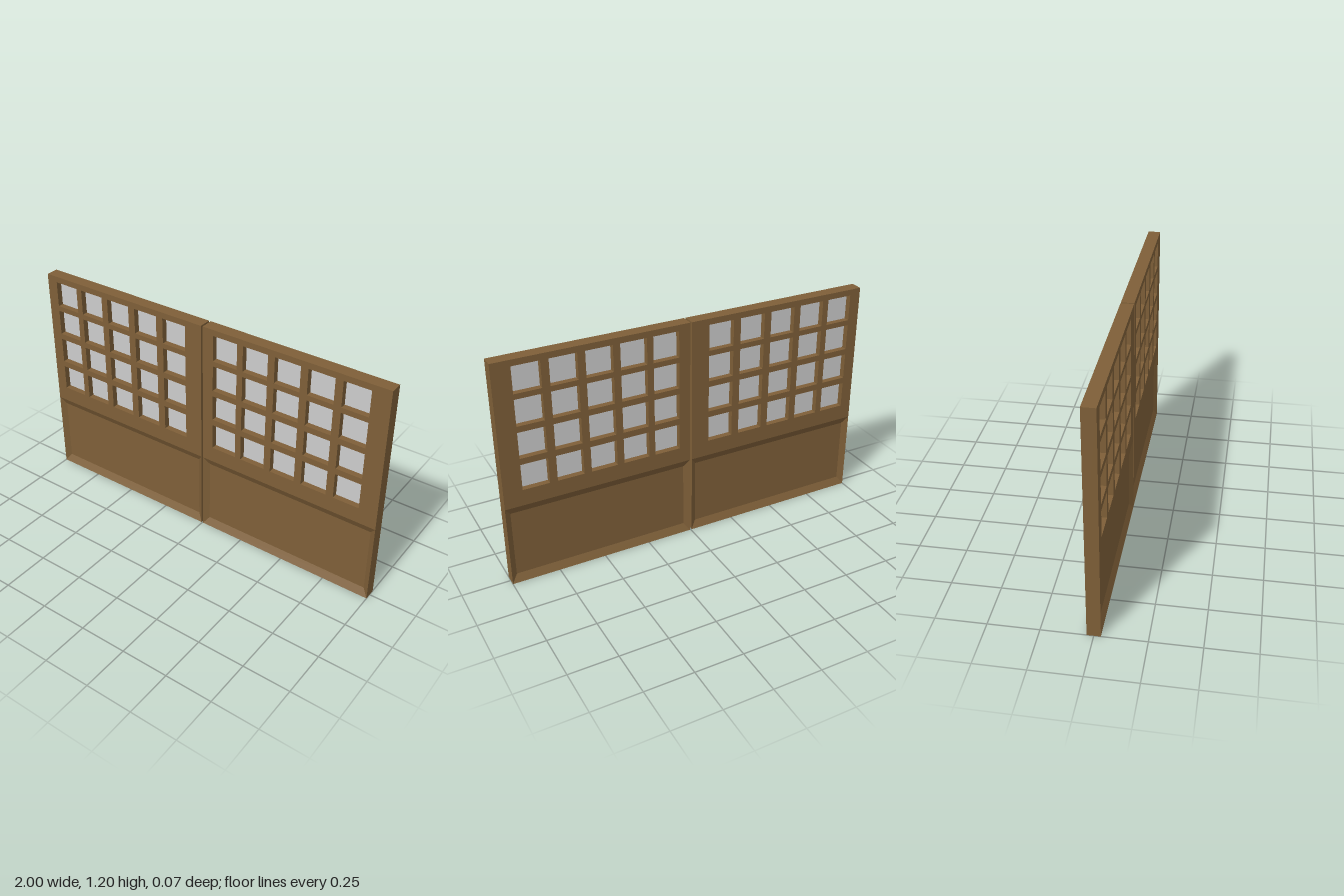
import * as THREE from 'three';

const WIDTH = 0.995, HEIGHT = 1.2, HALF_DEPTH = 0.033;
const RAIL_Y = 0.438; // where the lower recessed panel meets the window grid
const PANE = 0.138;
const COLUMNS = [0.06, 0.231, 0.406, 0.583, 0.761]; // left edge of each opening
const ROWS = [0.523, 0.694, 0.864, 1.03]; // bottom edge of each opening

const wood = new THREE.MeshStandardMaterial({ color: 0x7e5f38, flatShading: true });
const glass = new THREE.MeshStandardMaterial({ color: 0xcccccc });

function add(group, name, geometry, material) {
  const mesh = new THREE.Mesh(geometry, material);
  mesh.name = name;
  group.add(mesh);
  return mesh;
}

function rectangle(Type, x, y, w, h) {
  return new Type([[x, y], [x + w, y], [x + w, y + h], [x, y + h]]
    .map(([px, py]) => new THREE.Vector2(px, py)));
}

// Upper part of the leaf: a slab pierced by the window openings
function windowGridGeometry() {
  const shape = rectangle(THREE.Shape, 0, RAIL_Y, WIDTH, HEIGHT - RAIL_Y);
  for (const x of COLUMNS) for (const y of ROWS) {
    shape.holes.push(rectangle(THREE.Path, x, y, PANE, PANE));
  }
  return new THREE.ExtrudeGeometry(shape, { depth: 2 * HALF_DEPTH, bevelEnabled: false })
    .translate(0, 0, -HALF_DEPTH);
}

// Lower part: rectangular rings from back field to front field, with sloped borders
function recessedPanelGeometry() {
  const insetX = 0.03, insetY = 0.041, field = 0.013;
  const rings = [
    [insetX, insetY, -field], [0, 0, -HALF_DEPTH],
    [0, 0, HALF_DEPTH], [insetX, insetY, field],
  ];
  const positions = [], index = [];
  for (const [ix, iy, z] of rings) {
    positions.push(ix, iy, z, WIDTH - ix, iy, z, WIDTH - ix, RAIL_Y - iy, z, ix, RAIL_Y - iy, z);
  }
  for (let r = 0; r < 3; r++) for (let i = 0; i < 4; i++) {
    const a = r * 4 + i, b = r * 4 + (i + 1) % 4;
    index.push(a, b, b + 4, a, b + 4, a + 4);
  }
  index.push(0, 2, 1, 0, 3, 2, 12, 13, 14, 12, 14, 15);
  const indexed = new THREE.BufferGeometry();
  indexed.setAttribute('position', new THREE.Float32BufferAttribute(positions, 3));
  indexed.setIndex(index);
  const geometry = indexed.toNonIndexed();
  geometry.computeVertexNormals();
  return geometry;
}

// One door leaf, its left edge at x = 0
function doorLeaf(name) {
  const leaf = new THREE.Group();
  leaf.name = name;
  add(leaf, 'windowGrid', windowGridGeometry(), wood);
  add(leaf, 'recessedPanel', recessedPanelGeometry(), wood);
  const pane = new THREE.BoxGeometry(PANE, PANE, 0.004);
  for (const x of COLUMNS) for (const y of ROWS) {
    add(leaf, 'windowPane', pane, glass).position.set(x + PANE / 2, y + PANE / 2, 0);
  }
  return leaf;
}

export function createModel() {
  const model = new THREE.Group();
  model.name = 'doubleDoor';
  const right = doorLeaf('rightLeaf');
  right.position.x = -1;
  const left = doorLeaf('leftLeaf');
  left.position.x = 0.005;
  model.add(right, left);
  return model;
}
